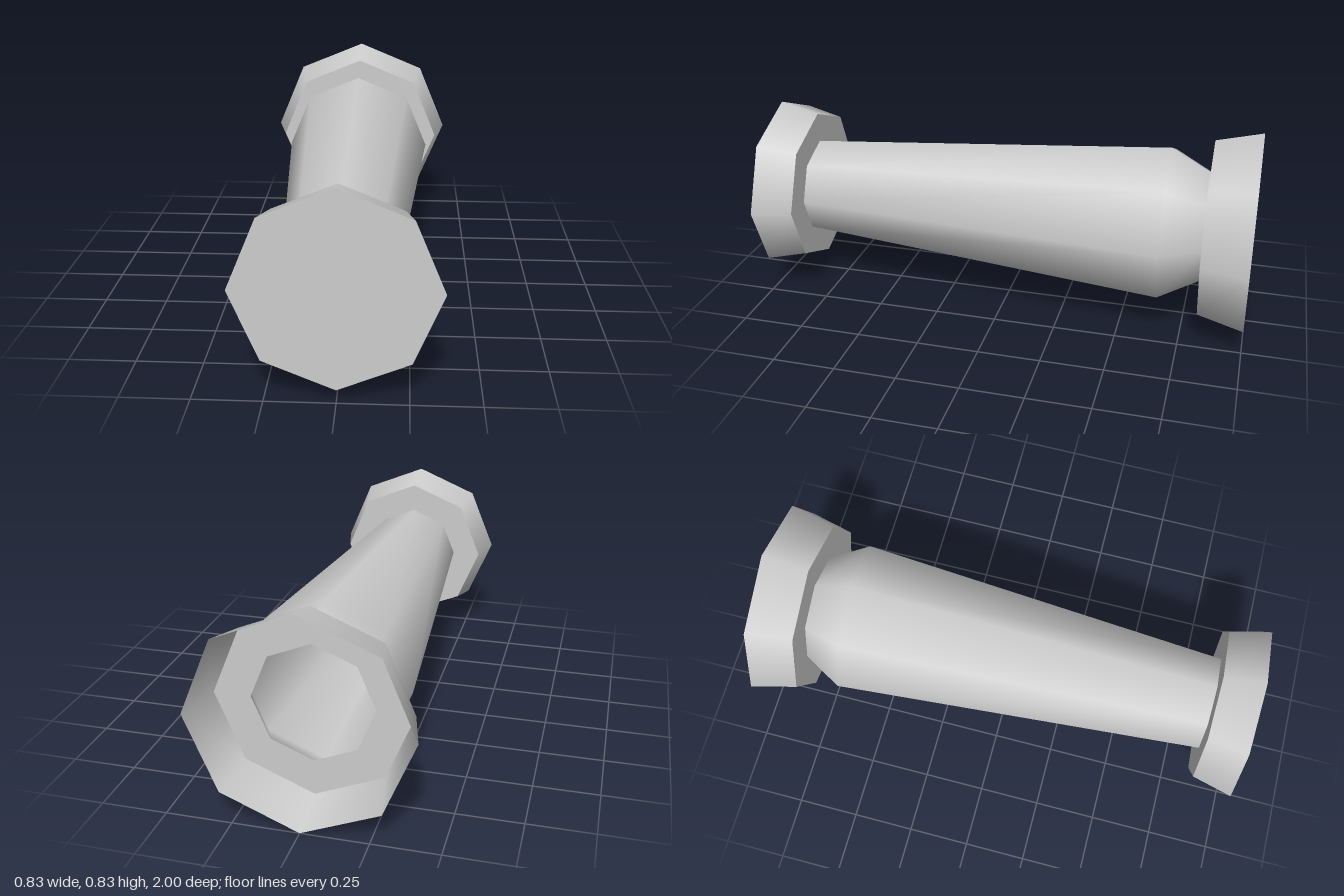
import * as THREE from 'three';

const SIDES = 8;
const CENTRE_Y = 0.413;

export function createModel() {
  const model = new THREE.Group();
  const grey = new THREE.MeshStandardMaterial({ color: 0xcccccc, side: THREE.DoubleSide });
  grey.name = 'light grey';

  // Octagonal shell around the z axis, from [radius, z] pairs; smooth along its profile
  const shell = (name, profile) => {
    const points = profile.map(([r, z]) => new THREE.Vector2(r, z));
    const geometry = new THREE.LatheGeometry(points, SIDES);
    geometry.rotateX(Math.PI / 2);
    const mesh = new THREE.Mesh(geometry, grey);
    mesh.name = name;
    mesh.position.y = CENTRE_Y;
    model.add(mesh);
  };

  // Hollow tapered barrel with a shoulder near the back
  shell('barrel', [[0.228, -0.818], [0.32, -0.655], [0.2, 0.84]]);

  // Open flared collar at the back, with the flat ring joining it to the barrel
  shell('backCollar', [[0.413, -1], [0.367, -0.818]]);
  shell('backCollarRing', [[0.367, -0.818], [0.228, -0.818]]);

  // Closed collar at the front
  shell('frontCollarRing', [[0.2, 0.84], [0.322, 0.84]]);
  shell('frontCollar', [[0.322, 0.84], [0.363, 1]]);
  shell('frontCap', [[0.363, 1], [0, 1]]);

  return model;
}
